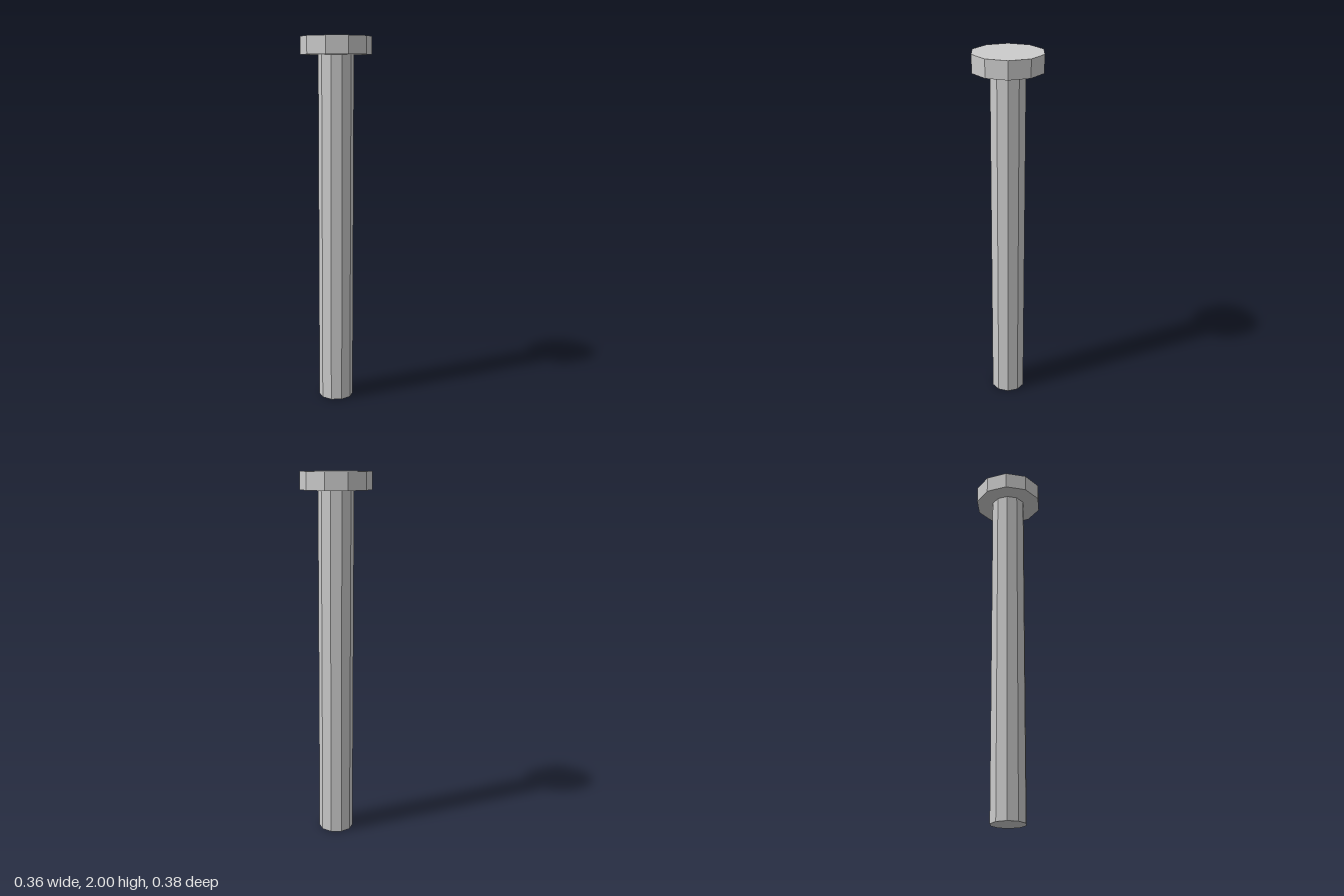
import * as THREE from 'three';

const SIDES = 10;

export function createModel() {
  const group = new THREE.Group();
  const material = new THREE.MeshStandardMaterial({ color: 0xcccccc, flatShading: true });

  // Upright ten-sided prism between two heights, with a corner facing front
  function addPrism(name, radius, bottom, top) {
    const height = top - bottom;
    const mesh = new THREE.Mesh(new THREE.CylinderGeometry(radius, radius, height, SIDES), material);
    mesh.position.y = bottom + height / 2;
    mesh.name = name;
    group.add(mesh);
  }

  addPrism('shaft', 0.095, 0, 1.905); // long pin
  addPrism('head', 0.19, 1.905, 2); // wide flat cap

  return group;
}
